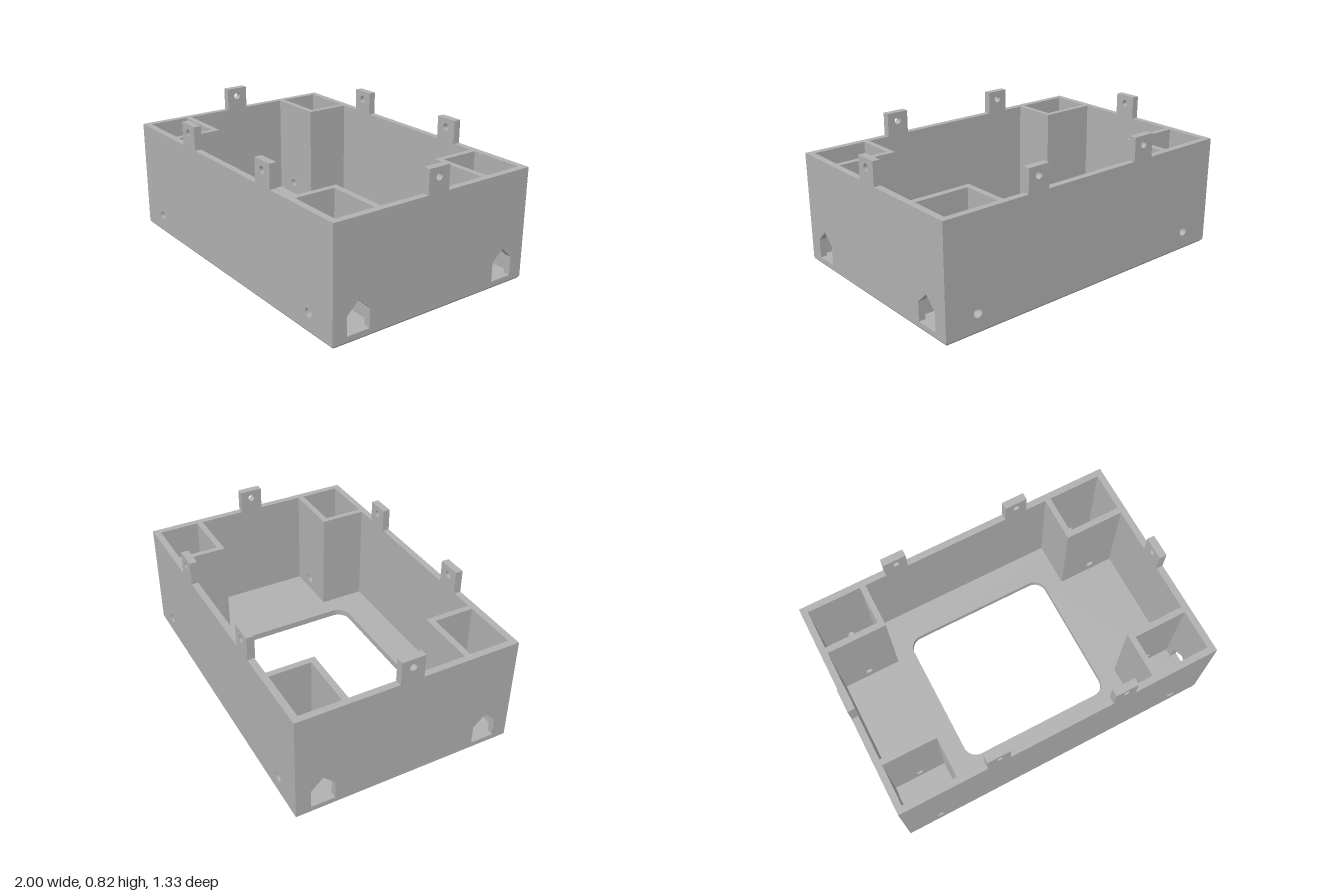
import * as THREE from 'three';
import { toCreasedNormals } from 'three/addons/utils/BufferGeometryUtils.js';

const W = 1, D = 0.667, T = 0.04;            // half width, half depth, wall thickness
const FLOOR = 0.04, TOP = 0.675, CHAMFER = 0.015;

export function createModel() {
  const group = new THREE.Group();
  const grey = new THREE.MeshStandardMaterial({ color: 0xb0b0b0 });
  grey.name = 'grey plastic';

  const add = (name, geometry, parent = group) => {
    const mesh = new THREE.Mesh(geometry, grey);
    mesh.name = name;
    parent.add(mesh);
    return mesh;
  };
  const rect = (x0, y0, x1, y1) => new THREE.Shape([
    new THREE.Vector2(x0, y0), new THREE.Vector2(x1, y0),
    new THREE.Vector2(x1, y1), new THREE.Vector2(x0, y1)]);
  const extrude = (shape, depth) => toCreasedNormals(
    new THREE.ExtrudeGeometry(shape, { depth, bevelEnabled: false, curveSegments: 10 }), 0.6);

  // Hole outlines
  const teardrop = (x, y, r) => {
    const p = new THREE.Path();
    p.moveTo(x, y + r * Math.SQRT2);
    p.absarc(x, y, r, Math.PI * 0.75, Math.PI * 2.25, false);
    p.closePath();
    return p;
  };
  const round = (x, y, r) => new THREE.Path().absarc(x, y, r, 0, Math.PI * 2, false);
  const house = (x) => new THREE.Path([
    new THREE.Vector2(x - 0.072, 0.046), new THREE.Vector2(x + 0.072, 0.046),
    new THREE.Vector2(x + 0.072, 0.16), new THREE.Vector2(x, 0.23),
    new THREE.Vector2(x - 0.072, 0.16)]);
  const roundedOpening = (hx, hz, r) => {
    const p = new THREE.Path(), q = Math.PI / 2;
    p.absarc(hx - r, hz - r, r, 0, q, false);
    p.absarc(-hx + r, hz - r, r, q, 2 * q, false);
    p.absarc(-hx + r, -hz + r, r, 2 * q, 3 * q, false);
    p.absarc(hx - r, -hz + r, r, 3 * q, 4 * q, false);
    p.closePath();
    return p;
  };

  // Floor with a rounded opening, the lowest layer tapering inwards
  const floorLayer = (name, y0, y1, inset) => {
    const shape = rect(-W, -D, W, D);
    shape.holes.push(roundedOpening(0.48, 0.435, 0.08));
    let g = new THREE.ExtrudeGeometry(shape, { depth: y1 - y0, bevelEnabled: false, curveSegments: 10 });
    g.rotateX(-Math.PI / 2).translate(0, y0, 0);
    const p = g.attributes.position;
    for (let i = 0; i < p.count; i++) {
      const x = p.getX(i), z = p.getZ(i);
      if (p.getY(i) < y0 + 0.001 && Math.abs(x) > 0.9) {
        p.setX(i, x - Math.sign(x) * inset);
        p.setZ(i, z - Math.sign(z) * inset);
      }
    }
    add(name, toCreasedNormals(g, 0.6));
  };
  floorLayer('floorChamfer', 0, CHAMFER, 0.012);
  floorLayer('floor', CHAMFER, FLOOR, 0);

  // Long walls with teardrop wire holes
  for (const s of [1, -1]) {
    const shape = rect(-W, FLOOR, W, TOP);
    for (const x of [-0.797, 0.797]) shape.holes.push(teardrop(x, 0.12, 0.028));
    add(s > 0 ? 'frontWall' : 'backWall', extrude(shape, T)).position.z = s > 0 ? D - T : -D;
  }

  // Short walls with house-shaped windows
  for (const s of [1, -1]) {
    const shape = rect(-D + T, FLOOR, D - T, TOP);
    for (const z of [-0.507, 0.507]) shape.holes.push(house(z));
    const wall = add(s > 0 ? 'leftWall' : 'rightWall', extrude(shape, T));
    wall.rotation.y = Math.PI / 2;
    wall.position.x = s > 0 ? W - T : -W;
  }

  // Hollow corner compartments, each closed by two inner walls
  const x0 = 0.597, x1 = 0.632, z0 = 0.346, z1 = 0.383;
  for (const sx of [1, -1]) for (const sz of [1, -1]) {
    const corner = new THREE.Group();
    corner.name = (sz > 0 ? 'front' : 'back') + (sx > 0 ? 'Left' : 'Right') + 'Compartment';
    const a = sx > 0 ? x0 : -W + T, b = sx > 0 ? W - T : -x0;
    const shape = rect(a, FLOOR, b, TOP);
    shape.holes.push(teardrop(sx * 0.797, 0.12, 0.028));
    add('compartmentLongWall', extrude(shape, z1 - z0), corner).position.z = sz > 0 ? z0 : -z1;
    add('compartmentShortWall', new THREE.BoxGeometry(x1 - x0, TOP - FLOOR, D - T - z1), corner)
      .position.set(sx * (x0 + x1) / 2, (TOP + FLOOR) / 2, sz * (D - T + z1) / 2);
    group.add(corner);
  }

  // Mounting tabs with screw holes, standing on the wall tops
  const tabDepth = 0.045;
  const tabShape = rect(-0.07, TOP, 0.07, 0.816);
  tabShape.holes.push(round(0, 0.763, 0.022));
  const tabGeometry = extrude(tabShape, tabDepth);
  for (const s of [1, -1]) {
    for (const x of [-0.393, 0.393])
      add(s > 0 ? 'frontTab' : 'backTab', tabGeometry).position.set(x, 0, s > 0 ? D - tabDepth : -D);
    const side = add(s > 0 ? 'leftTab' : 'rightTab', tabGeometry);
    side.rotation.y = Math.PI / 2;
    side.position.x = s > 0 ? W - tabDepth : -W;
  }

  return group;
}
